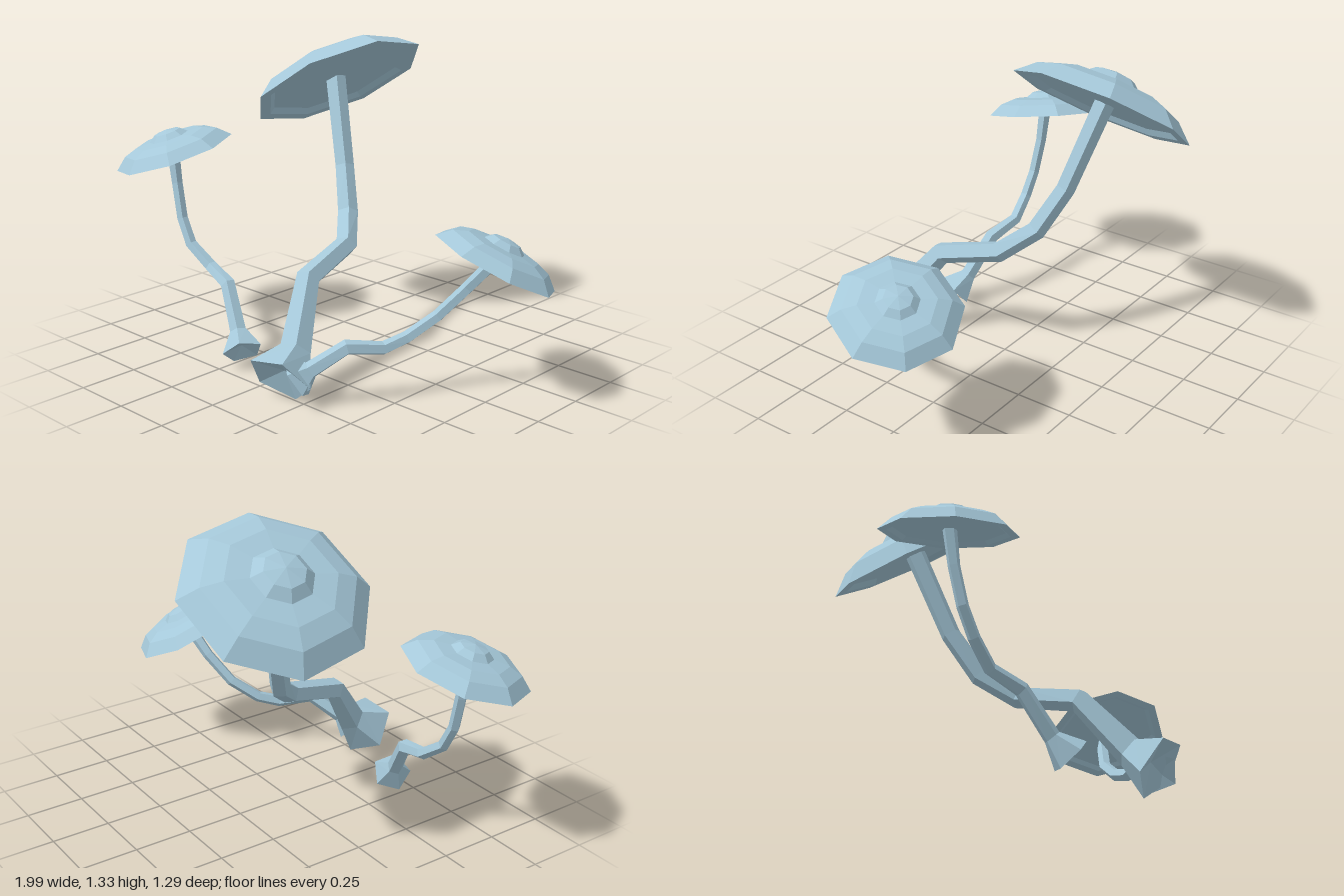
import * as THREE from 'three';

const V = (a) => new THREE.Vector3(...a);

// Cap profile in units of the rim radius: recessed underside, lip, dome, central knob
const CAP_PROFILE = [
  [0, 0.05], [0.8, 0.05], [0.87, 0], [1, 0],
  [0.8, 0.18], [0.58, 0.26], [0.33, 0.28], [0.22, 0.37], [0, 0.41],
].map(([r, h]) => new THREE.Vector2(r, h));

// Eight-sided cap, tilted to its axis, with one corner aimed along `corner`
function makeCap({ center, axis, corner, radius }, material) {
  const mesh = new THREE.Mesh(new THREE.LatheGeometry(CAP_PROFILE, 8), material);
  const y = V(axis).normalize();
  const x = new THREE.Vector3().crossVectors(y, V(corner)).normalize();
  const z = new THREE.Vector3().crossVectors(x, y);
  mesh.quaternion.setFromRotationMatrix(new THREE.Matrix4().makeBasis(x, y, z));
  mesh.position.copy(V(center));
  mesh.scale.setScalar(radius);
  mesh.name = 'cap';
  return mesh;
}

// Five-sided bent stem lofted through [x, y, z, radius] stations from base to cap
function makeStem({ stem, baseCorner }, material) {
  const SIDES = 5;
  const pts = stem.map((s) => V(s.slice(0, 3)));
  const pos = [];
  const index = [];
  const u = V(baseCorner);
  pts.forEach((p, i) => {
    const a = pts[Math.max(i - 1, 0)];
    const b = pts[Math.min(i + 1, pts.length - 1)];
    const t = b.clone().sub(p).normalize().add(p.clone().sub(a).normalize()).normalize();
    u.addScaledVector(t, -u.dot(t)).normalize();
    const v = new THREE.Vector3().crossVectors(t, u);
    for (let j = 0; j < SIDES; j++) {
      const ang = (j / SIDES) * Math.PI * 2;
      const q = p.clone()
        .addScaledVector(u, Math.cos(ang) * stem[i][3])
        .addScaledVector(v, Math.sin(ang) * stem[i][3]);
      pos.push(q.x, q.y, q.z);
      const k = (j + 1) % SIDES;
      if (i > 0) {
        const lo = (i - 1) * SIDES;
        const hi = i * SIDES;
        index.push(lo + j, lo + k, hi + k, lo + j, hi + k, hi + j);
      }
    }
  });
  // Hollowed foot
  const foot = pos.length / 3;
  const hollow = pts[0].clone().lerp(pts[1], 0.3);
  pos.push(hollow.x, hollow.y, hollow.z);
  for (let j = 0; j < SIDES; j++) index.push(foot, (j + 1) % SIDES, j);

  const geo = new THREE.BufferGeometry();
  geo.setAttribute('position', new THREE.Float32BufferAttribute(pos, 3));
  geo.setIndex(index);
  geo.computeVertexNormals();
  const mesh = new THREE.Mesh(geo, material);
  mesh.name = 'stem';
  return mesh;
}

const MUSHROOMS = [
  {
    name: 'tallMushroom',
    center: [-0.3, 1.1, -0.268], axis: [-0.562, 0.823, -0.079], corner: [-0.18, -0.05, 0.76], radius: 0.39,
    baseCorner: [-0.6, 0.6, 0.45],
    stem: [
      [0.19, 0.11, 0.57, 0.135], [0.165, 0.19, 0.46, 0.065], [0.065, 0.42, 0.29, 0.05],
      [0.02, 0.49, 0.02, 0.047], [-0.085, 0.585, -0.1, 0.045], [-0.18, 0.76, -0.18, 0.042],
      [-0.32, 1.12, -0.27, 0.045],
    ],
  },
  {
    name: 'rightMushroom',
    center: [-0.742, 0.81, 0.302], axis: [-0.215, 0.953, 0.21], corner: [0.513, 0.115, -0.005], radius: 0.262,
    baseCorner: [-0.055, -0.065, 0],
    stem: [
      [-0.185, 0.075, 0.425, 0.085], [-0.25, 0.14, 0.39, 0.035], [-0.365, 0.305, 0.34, 0.032],
      [-0.51, 0.345, 0.31, 0.027], [-0.62, 0.425, 0.325, 0.025], [-0.68, 0.53, 0.32, 0.024],
      [-0.72, 0.68, 0.31, 0.024], [-0.745, 0.828, 0.307, 0.028],
    ],
  },
  {
    name: 'leftMushroom',
    center: [0.747, 0.562, -0.04], axis: [0.281, 0.893, -0.352], corner: [0.497, -0.157, 0.005], radius: 0.261,
    baseCorner: [1, 0, 0],
    stem: [
      [0.24, 0.11, 0.53, 0.085], [0.28, 0.15, 0.49, 0.035], [0.375, 0.24, 0.39, 0.032],
      [0.45, 0.22, 0.26, 0.028], [0.49, 0.25, 0.17, 0.026], [0.56, 0.33, 0.07, 0.025],
      [0.65, 0.45, 0.0, 0.025], [0.752, 0.58, -0.046, 0.028],
    ],
  },
];

export function createModel() {
  const material = new THREE.MeshStandardMaterial({ color: 0xa5c8d9, flatShading: true });
  material.name = 'paleBlue';
  const model = new THREE.Group();
  model.name = 'mushroomCluster';
  for (const spec of MUSHROOMS) {
    const mushroom = new THREE.Group();
    mushroom.name = spec.name;
    mushroom.add(makeStem(spec, material), makeCap(spec, material));
    model.add(mushroom);
  }
  return model;
}
